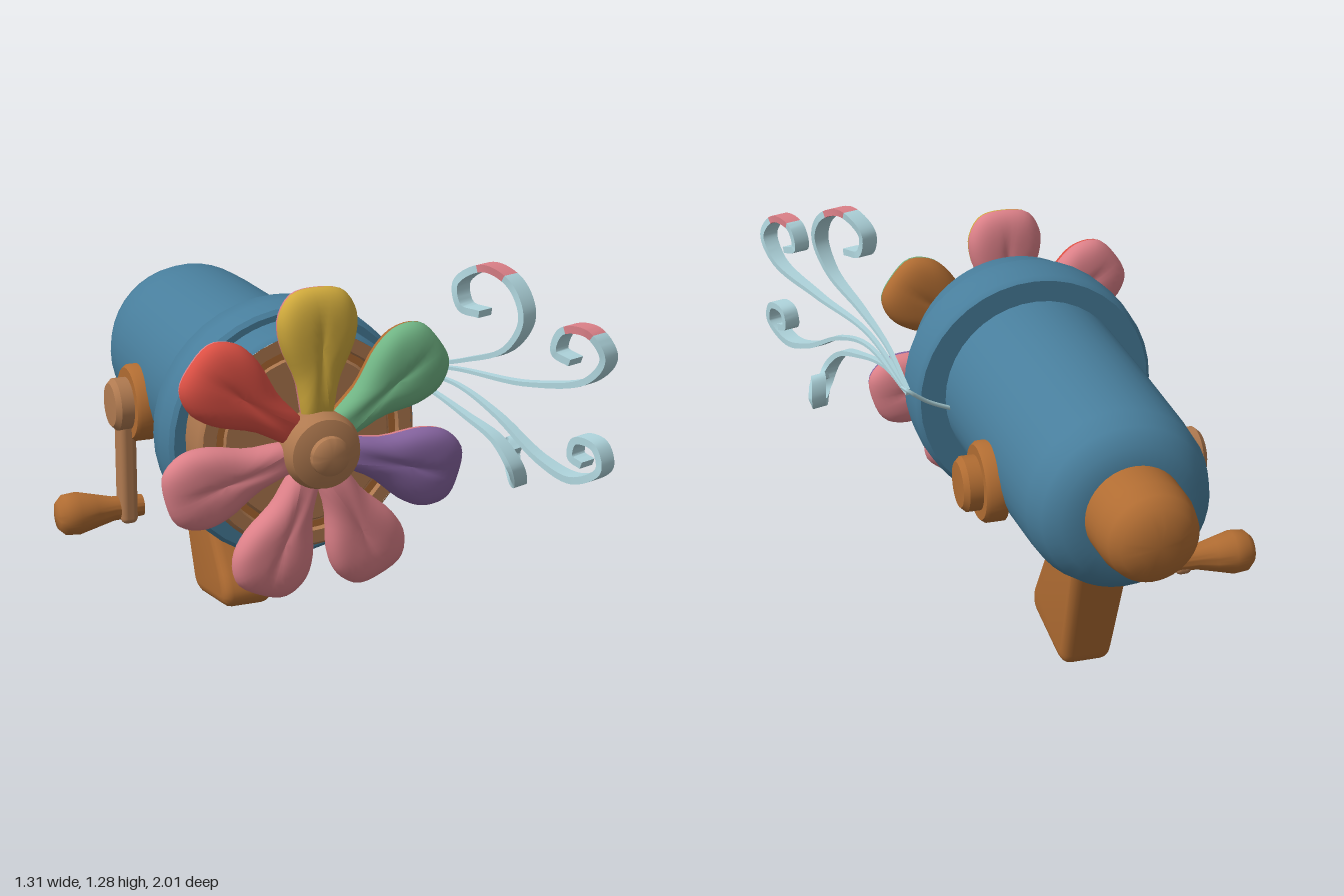
import * as THREE from 'three';
import { toCreasedNormals } from 'three/addons/utils/BufferGeometryUtils.js';
import { RoundedBoxGeometry } from 'three/addons/geometries/RoundedBoxGeometry.js';

const mat = (name, color) => new THREE.MeshStandardMaterial({ name, color });
const blue = mat('blue', 0x487e9c);
const brown = mat('brown', 0xb06c32);
const tan = mat('tan', 0xb07a50);
const pink = mat('pink', 0xdc8088);
const red = mat('red', 0xdc5044);
const yellow = mat('yellow', 0xd0aa3c);
const green = mat('green', 0x70b484);
const purple = mat('purple', 0x8664a0);
const pale = mat('paleBlue', 0xb0d6de);

const CX = -0.075;

function add(group, name, geometry, material, x = 0, y = 0, z = 0) {
  const mesh = new THREE.Mesh(geometry, material);
  mesh.name = name;
  mesh.position.set(x, y, z);
  group.add(mesh);
  return mesh;
}

// Turned solid; profile is [radius, height] from bottom to top
function turned(profile, start = 0, sweep = Math.PI * 2, sides = 40) {
  const pts = profile.map(([r, h]) => new THREE.Vector2(r, h));
  return toCreasedNormals(new THREE.LatheGeometry(pts, sides, start, sweep), 0.7);
}
const alongZ = (...args) => turned(...args).rotateX(Math.PI / 2);
const alongX = (profile, side) => turned(profile).rotateZ(-side * Math.PI / 2);

// One cushioned half of a petal pointing along +y; side = 1 front, -1 back
function petalHalf(side) {
  const outline = new THREE.CatmullRomCurve3([
    [0.03, 0.06], [0.065, 0.2], [0.115, 0.32], [0.12, 0.4], [0.08, 0.465], [0, 0.48],
    [-0.08, 0.465], [-0.12, 0.4], [-0.115, 0.32], [-0.065, 0.2], [-0.03, 0.06],
  ].map(([x, y]) => new THREE.Vector3(x, y, 0)), true);
  const rings = 10, segs = 40, pos = [], idx = [];
  for (let i = 0; i <= rings; i++) {
    const u = Math.sin((i / rings) * Math.PI / 2);
    for (let j = 0; j <= segs; j++) {
      const p = outline.getPoint(j / segs);
      const x = p.x * u, y = 0.3 + (p.y - 0.3) * u;
      const crease = 0.008 * Math.exp(-((x / 0.015) ** 2)) * (1 - u);
      pos.push(x, y, side * (0.055 * Math.sqrt(Math.max(0, 1 - u ** 4)) - crease));
    }
  }
  for (let i = 0; i < rings; i++) for (let j = 0; j < segs; j++) {
    const a = i * (segs + 1) + j, b = a + 1, c = a + segs + 1, d = c + 1;
    if (side > 0) idx.push(a, c, d, a, d, b);
    else idx.push(a, d, c, a, b, d);
  }
  const g = new THREE.BufferGeometry();
  g.setAttribute('position', new THREE.Float32BufferAttribute(pos, 3));
  g.setIndex(idx);
  g.computeVertexNormals();
  return g;
}

// Flat ribbon swept along a path, with an optional pink stretch
function ribbon(points, pinkFrom = 2, pinkTo = 2) {
  const curve = new THREE.CatmullRomCurve3(points.map(p => new THREE.Vector3(...p)));
  const n = 70, pos = [], main = [], patch = [];
  const across = new THREE.Vector3(0.94, 0, -0.34);
  for (let i = 0; i <= n; i++) {
    const t = i / n, p = curve.getPoint(t);
    const up = curve.getTangent(t).cross(across).normalize();
    const w = 0.007 + 0.02 * THREE.MathUtils.smoothstep(t, 0.05, 0.5);
    const h = 0.005 + 0.006 * THREE.MathUtils.smoothstep(t, 0.1, 0.5);
    for (const [a, b] of [[-1, -1], [1, -1], [1, 1], [-1, 1]])
      pos.push(...p.clone().addScaledVector(across, a * w).addScaledVector(up, b * h).toArray());
  }
  for (let i = 0; i < n; i++) for (let k = 0; k < 4; k++) {
    const a = i * 4 + k, b = i * 4 + (k + 1) % 4, c = a + 4, d = b + 4;
    const t = i / n;
    (t >= pinkFrom && t <= pinkTo ? patch : main).push(a, b, d, a, d, c);
  }
  const e = n * 4;
  main.push(0, 2, 1, 0, 3, 2, e, e + 1, e + 2, e, e + 2, e + 3);
  const g = new THREE.BufferGeometry();
  g.setAttribute('position', new THREE.Float32BufferAttribute(pos, 3));
  g.setIndex([...main, ...patch]);
  g.addGroup(0, main.length, 0);
  g.addGroup(main.length, patch.length, 1);
  return toCreasedNormals(g, 0.8);
}

export function createModel() {
  const model = new THREE.Group();
  model.name = 'flowerBlaster';

  // Barrel, rear knob and thick front band
  add(model, 'barrel', alongZ([[0, -0.78], [0.15, -0.78], [0.21, -0.765], [0.255, -0.72],
    [0.278, -0.65], [0.285, -0.55], [0.295, -0.2], [0.302, 0.18]]), blue, CX, 0.76);
  add(model, 'rearKnob', alongZ([[0, -1], [0.06, -0.996], [0.11, -0.975], [0.135, -0.94],
    [0.147, -0.88], [0.15, -0.74]]), brown, CX - 0.005, 0.77);
  add(model, 'frontBand', alongZ([[0.28, 0.16], [0.38, 0.16], [0.393, 0.175], [0.398, 0.25],
    [0.393, 0.325], [0.38, 0.337], [0.3, 0.337]]), blue, CX + 0.003, 0.75);

  // Muzzle collar: blue over the top, tan below
  const collar = [[0.335, 0.32], [0.342, 0.34], [0.342, 0.445], [0.33, 0.46]];
  const deg = Math.PI / 180;
  add(model, 'collarTop', alongZ(collar, 105 * deg, 130 * deg, 24), blue, CX, 0.77);
  add(model, 'collarBottom', alongZ(collar, 235 * deg, 230 * deg, 36), tan, CX, 0.77);
  add(model, 'muzzleFace', alongZ([[0.33, 0.46], [0.29, 0.46], [0.28, 0.435], [0.265, 0.435],
    [0.255, 0.45], [0, 0.45]]), tan, CX, 0.77);
  add(model, 'muzzleGroove', new THREE.RingGeometry(0.263, 0.284, 40), brown, CX, 0.77, 0.447);

  // Flower: each petal has a coloured front and its own back colour
  const flower = new THREE.Group();
  flower.name = 'flower';
  flower.position.set(CX + 0.003, 0.77, 0.512);
  model.add(flower);
  const front = petalHalf(1), back = petalHalf(-1);
  [[90, yellow, pink], [37, green, brown], [-17, purple, pink], [-64, pink, pink],
    [-112, pink, pink], [-166, pink, pink], [143, red, pink]].forEach(([angle, face, rear]) => {
    const petal = new THREE.Group();
    petal.name = 'petal';
    add(petal, 'petalFront', front, face);
    add(petal, 'petalBack', back, rear);
    petal.rotation.z = (angle - 90) * deg;
    flower.add(petal);
  });
  add(model, 'flowerHub', alongZ([[0.08, 0.44], [0.115, 0.5], [0.118, 0.56], [0.105, 0.595],
    [0.07, 0.607], [0, 0.607]]), tan, CX + 0.003, 0.77);
  add(model, 'flowerNub', alongZ([[0.06, 0.6], [0.058, 0.625], [0.045, 0.636], [0, 0.638]]),
    tan, CX + 0.006, 0.77);

  // Slanted grip
  const outline = new THREE.Shape();
  outline.moveTo(-0.5, 0.54);
  outline.lineTo(-0.335, 0.05);
  outline.quadraticCurveTo(-0.32, 0.0, -0.26, 0.005);
  outline.lineTo(-0.04, 0.045);
  outline.quadraticCurveTo(0.005, 0.055, 0.003, 0.1);
  outline.quadraticCurveTo(0, 0.13, -0.03, 0.17);
  outline.lineTo(-0.225, 0.44);
  outline.lineTo(-0.24, 0.54);
  const grip = new THREE.ExtrudeGeometry(outline, { depth: 0.12, bevelSize: 0.035, bevelOffset: -0.035,
    bevelThickness: 0.037, bevelSegments: 4, curveSegments: 6 });
  grip.translate(0, 0, -0.06).rotateY(-Math.PI / 2);
  const gp = grip.attributes.position;
  for (let i = 0; i < gp.count; i++)
    gp.setX(i, gp.getX(i) * (0.82 + 0.18 * Math.min(1, gp.getY(i) / 0.35)));
  add(model, 'grip', toCreasedNormals(grip, 0.7), brown, -0.097);

  // Side pivots
  for (const side of [1, -1]) {
    const x = CX + side * 0.26;
    add(model, 'pivotPlate', alongX([[0.125, 0], [0.125, 0.055], [0.115, 0.068], [0, 0.068]], side),
      brown, x, 0.69, -0.3);
    add(model, 'pivotCap', alongX([[0.085, 0.05], [0.085, 0.11], [0.07, 0.126], [0, 0.13]], side),
      side > 0 ? brown : tan, x, 0.69, -0.3);
  }

  // Crank arm and handle
  add(model, 'crankArm', new RoundedBoxGeometry(0.056, 0.45, 0.085, 3, 0.02), tan, -0.412, 0.51, -0.3);
  add(model, 'crankHandle', alongX([[0, -0.005], [0.035, 0], [0.038, 0.04], [0.04, 0.1], [0.055, 0.16],
    [0.07, 0.22], [0.066, 0.265], [0.045, 0.287], [0, 0.293]], -1), brown, -0.358, 0.33, -0.31);

  // Bent stem and four curling ribbons
  const stem = new THREE.CatmullRomCurve3([[0.2, 0.74, 0.12], [0.3, 0.79, 0.1], [0.365, 0.84, 0.085],
    [0.375, 0.84, 0.12]].map(p => new THREE.Vector3(...p)));
  add(model, 'ribbonStem', new THREE.TubeGeometry(stem, 16, 0.007, 6), pale);
  add(model, 'upperRibbon', ribbon([[0.365, 0.84, 0.09], [0.38, 0.91, 0.3], [0.42, 0.97, 0.48],
    [0.48, 1.05, 0.65], [0.505, 1.15, 0.7], [0.49, 1.24, 0.65], [0.44, 1.275, 0.57], [0.39, 1.22, 0.5],
    [0.395, 1.15, 0.52], [0.43, 1.14, 0.58]], 0.58, 0.68), [pale, pink]);
  add(model, 'outerUpperRibbon', ribbon([[0.365, 0.84, 0.09], [0.42, 0.92, 0.4], [0.52, 0.95, 0.7],
    [0.61, 1.01, 0.9], [0.63, 1.09, 0.96], [0.6, 1.155, 0.92], [0.56, 1.145, 0.84],
    [0.55, 1.08, 0.82], [0.575, 1.06, 0.87]], 0.6, 0.72), [pale, pink]);
  add(model, 'outerLowerRibbon', ribbon([[0.365, 0.83, 0.09], [0.42, 0.875, 0.4], [0.47, 0.83, 0.6],
    [0.53, 0.74, 0.78], [0.58, 0.715, 0.9], [0.62, 0.77, 0.985], [0.615, 0.83, 0.96],
    [0.59, 0.83, 0.89], [0.585, 0.78, 0.88], [0.6, 0.765, 0.92]]), [pale, pink]);
  add(model, 'lowerRibbon', ribbon([[0.365, 0.83, 0.09], [0.385, 0.83, 0.33], [0.42, 0.8, 0.5],
    [0.46, 0.76, 0.63], [0.49, 0.69, 0.69], [0.52, 0.63, 0.66], [0.55, 0.612, 0.58],
    [0.575, 0.66, 0.5], [0.565, 0.72, 0.53], [0.54, 0.7, 0.59]]), [pale, pink]);

  return model;
}
